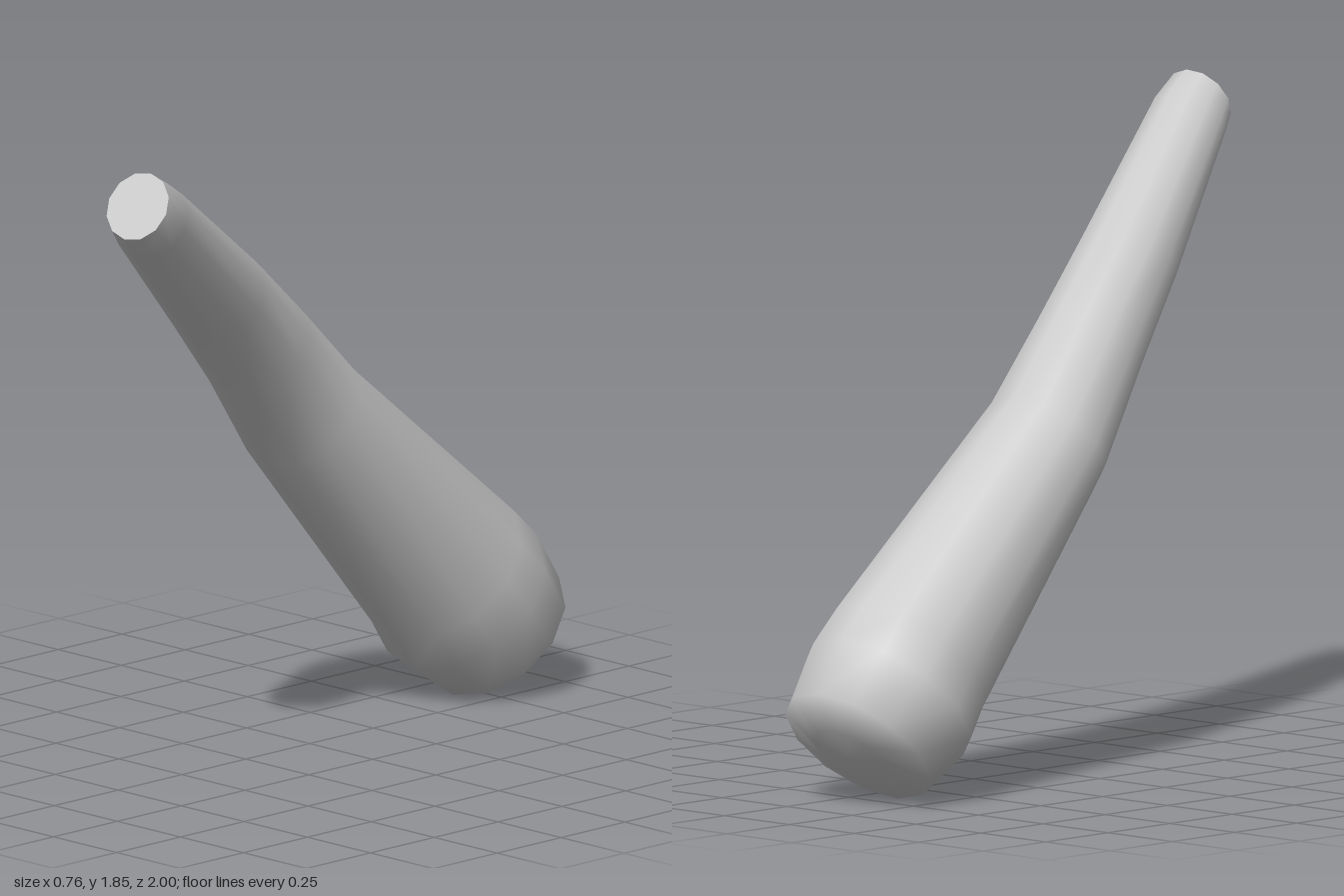
import * as THREE from 'three';

const SIDES = 12;

// Centre line and radius of each cross-section, from thick end to thin end
const SECTIONS = [
  [-0.115, 0.135, -0.86, 0.12],
  [-0.115, 0.165, -0.835, 0.23],
  [-0.118, 0.285, -0.715, 0.265],
  [-0.11, 0.38, -0.63, 0.252],
  [-0.077, 0.94, -0.04, 0.187],
  [-0.02, 1.17, 0.185, 0.163],
  [0.063, 1.38, 0.43, 0.146],
  [0.26, 1.712, 0.88, 0.113],
  [0.28, 1.765, 0.95, 0.1],
];

// Ring of points around a centre, square to the given axis
function ring(centre, axis, radius) {
  const u = new THREE.Vector3(1, 0, 0);
  u.addScaledVector(axis, -u.dot(axis)).normalize();
  const v = axis.clone().cross(u);
  return Array.from({ length: SIDES }, (_, j) => {
    const a = (j / SIDES) * Math.PI * 2;
    return centre.clone()
      .addScaledVector(u, Math.cos(a) * radius)
      .addScaledVector(v, Math.sin(a) * radius);
  });
}

function meshFrom(name, points, index) {
  const geometry = new THREE.BufferGeometry().setFromPoints(points);
  geometry.setIndex(index);
  geometry.computeVertexNormals();
  const mesh = new THREE.Mesh(geometry, new THREE.MeshStandardMaterial({ color: 0xcccccc }));
  mesh.name = name;
  return mesh;
}

export function createModel() {
  const group = new THREE.Group();
  group.name = 'curvedClub';

  const centres = SECTIONS.map(([x, y, z]) => new THREE.Vector3(x, y, z));
  const last = centres.length - 1;
  const rings = centres.map((c, i) => {
    let axis = centres[Math.min(i + 1, last)].clone().sub(centres[Math.max(i - 1, 0)]);
    if (i < 4) axis = new THREE.Vector3(0.02, 0.7, 0.71); // straight thick end
    if (i === last) axis = new THREE.Vector3(0.16, 0.5, 0.85); // tip face
    return ring(c, axis.normalize(), SECTIONS[i][3]);
  });

  // Tapered body with a softly rounded, closed thick end
  const points = rings.flat();
  const index = [];
  for (let i = 0; i < last; i++) {
    for (let j = 0; j < SIDES; j++) {
      const k = (j + 1) % SIDES;
      const a = i * SIDES + j, b = i * SIDES + k;
      index.push(a, b, b + SIDES, a, b + SIDES, a + SIDES);
    }
  }
  const pole = points.length;
  points.push(new THREE.Vector3(-0.115, 0.13, -0.865));
  for (let j = 0; j < SIDES; j++) index.push(pole, (j + 1) % SIDES, j);
  group.add(meshFrom('body', points, index));

  // Flat face closing the thin end
  const capIndex = [];
  for (let j = 1; j < SIDES - 1; j++) capIndex.push(0, j, j + 1);
  group.add(meshFrom('tipFace', rings[last], capIndex));

  return group;
}
